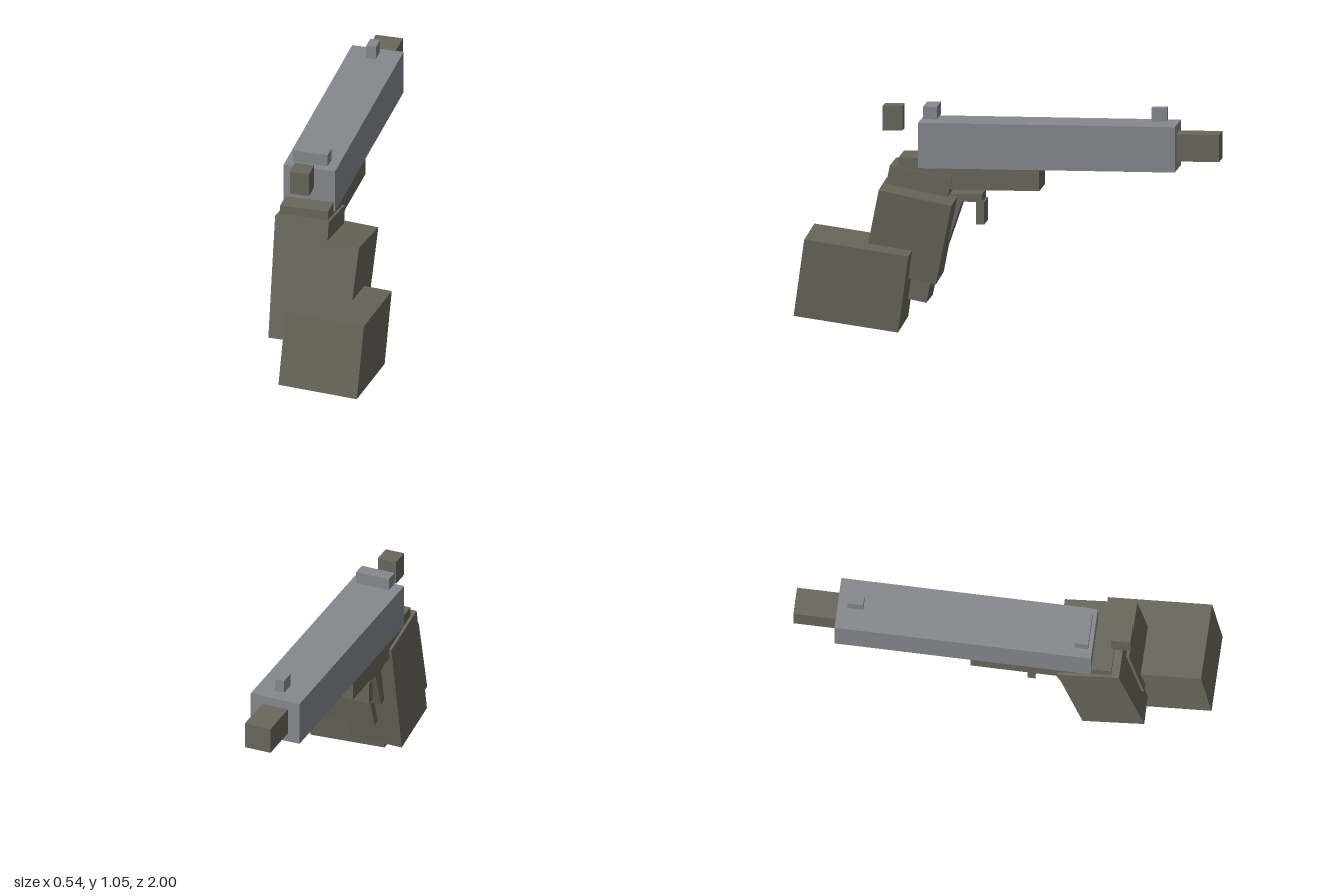
import * as THREE from 'three';

export function createModel() {
  const model = new THREE.Group();
  const steel = new THREE.MeshStandardMaterial({ color: 0x85888e });
  steel.name = 'steel grey';
  const olive = new THREE.MeshStandardMaterial({ color: 0x68675b });
  olive.name = 'dark olive';

  // Box by size and centre, pitched about x and rolled about z
  function block(name, material, size, centre, pitch = 0, roll = 0) {
    const mesh = new THREE.Mesh(new THREE.BoxGeometry(...size), material);
    mesh.name = name;
    mesh.position.set(...centre);
    mesh.rotation.set(pitch, 0, roll);
    model.add(mesh);
  }

  const mid = -0.14; // centre line of the pistol

  // Upper body and sights
  block('slide', steel, [0.254, 0.218, 1.23], [mid, 0.864, -0.18]);
  block('rearSight', steel, [0.17, 0.06, 0.066], [mid, 1.015, 0.383]);
  block('frontSight', steel, [0.048, 0.064, 0.074], [mid, 1.017, -0.708]);

  // Barrel, frame and hammer
  block('barrel', olive, [0.134, 0.13, 0.25], [mid, 0.865, -0.875]);
  block('frame', olive, [0.236, 0.15, 0.675], [mid, 0.728, 0.193]);
  block('hammer', olive, [0.095, 0.118, 0.094], [mid, 0.981, 0.567]);

  // Trigger group
  block('guardTop', olive, [0.16, 0.037, 0.25], [mid, 0.609, 0.26]);
  block('guardFront', olive, [0.165, 0.108, 0.038], [mid, 0.536, 0.143]);
  block('trigger', olive, [0.13, 0.24, 0.08], [mid, 0.5, 0.304], -0.33);

  // Slanted grip
  block('grip', olive, [0.264, 0.61, 0.302], [mid, 0.4375, 0.4825], -0.2);

  // Hand and forearm
  block('hand', olive, [0.284, 0.392, 0.355], [-0.004, 0.453, 0.467], -0.2, -0.07);
  block('forearm', olive, [0.388, 0.3745, 0.505], [0.066, 0.233, 0.722], -0.142, -0.055);

  return model;
}
